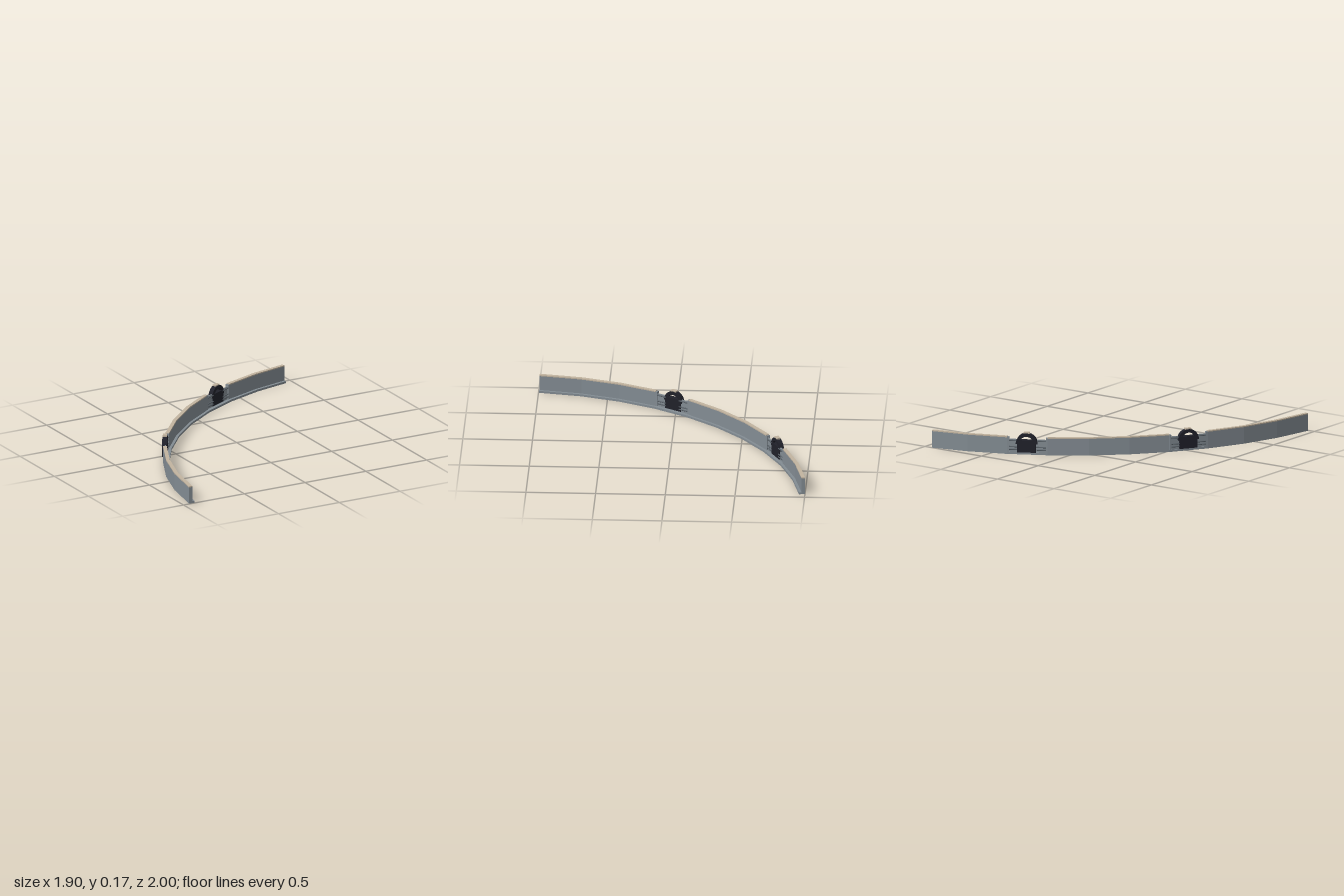
import * as THREE from 'three';

const RAD = Math.PI / 180, R = 2.233, CX = 1.2925, CZ = 1.2269;

// angle of each joint along the arc (0..10)
const jointAngle = i => (185.97 + 7.5 * i + (i > 0 && i < 10 ? 0.45 : 0)) * RAD;

// rectangular section (radial r0..r1, height y0..y1) swept from joint a to joint b
function sweep(r0, r1, y0, y1, a, b) {
  const g = new THREE.BoxGeometry(1, 1, 1, 1, 1, b - a).toNonIndexed();
  const p = g.attributes.position;
  for (let i = 0; i < p.count; i++) {
    const t = jointAngle(Math.round(a + (p.getZ(i) + 0.5) * (b - a)));
    const r = R + r0 + (p.getX(i) + 0.5) * (r1 - r0);
    const y = y0 + (p.getY(i) + 0.5) * (y1 - y0);
    p.setXYZ(i, CX + r * Math.cos(t), y, CZ + r * Math.sin(t));
  }
  g.computeVertexNormals();
  return g;
}

export function createModel() {
  const mat = (name, color) => {
    const m = new THREE.MeshStandardMaterial({ color });
    m.name = name;
    return m;
  };
  const steel = mat('grey steel', 0x838c93);
  const tan = mat('tan coping', 0xc2b4a0);
  const dark = mat('dark metal', 0x20212a);
  const rail = mat('rail grey', 0x5c646b);

  const model = new THREE.Group();
  model.name = 'curvedWall';
  const add = (parent, name, geo, m, x = 0, y = 0, z = 0) => {
    const mesh = new THREE.Mesh(geo, m);
    mesh.name = name;
    mesh.position.set(x, y, z);
    parent.add(mesh);
    return mesh;
  };

  // continuous footing with a ledge on the inner side
  add(model, 'footing', sweep(-0.022, 0.022, 0, 0.015, 0, 10), steel);

  // three wall runs with coping strips
  for (const [a, b] of [[0, 3], [4, 7], [8, 10]]) {
    add(model, 'wall', sweep(-0.003, 0.022, 0.015, 0.122, a, b), steel);
    add(model, 'coping', sweep(-0.004, 0.0225, 0.122, 0.13, a, b), tan);
  }

  // half-ring frame for a gate
  const arch = new THREE.Shape();
  arch.absarc(0, 0, 0.078, 0, Math.PI, false);
  arch.absarc(0, 0, 0.053, Math.PI, 0, true);
  const archGeo = new THREE.ExtrudeGeometry(arch, { depth: 0.034, bevelEnabled: false, curveSegments: 12 });
  archGeo.translate(0, 0, -0.017);

  // gates filling the two gaps; local x runs along the wall, z points inward
  for (const i of [3, 7]) {
    const t = (jointAngle(i) + jointAngle(i + 1)) / 2;
    const r = R * Math.cos(3.75 * RAD);
    const gate = new THREE.Group();
    gate.name = 'gate';
    gate.position.set(CX + r * Math.cos(t), 0, CZ + r * Math.sin(t));
    gate.rotation.y = Math.atan2(-Math.cos(t), -Math.sin(t));
    model.add(gate);

    add(gate, 'gatePanel', new THREE.BoxGeometry(0.135, 0.09, 0.036), dark, 0.005, 0.063, -0.018);
    add(gate, 'gateArch', archGeo, dark, 0.005, 0.08, -0.018);
    add(gate, 'archCap', new THREE.BoxGeometry(0.045, 0.014, 0.03), tan, 0.005, 0.158, -0.018);

    for (const s of [-1, 1]) {
      add(gate, 'endPost', new THREE.BoxGeometry(0.012, 0.11, 0.026), steel, s * 0.14, 0.07, -0.01);
      add(gate, 'sidePanel', new THREE.BoxGeometry(0.08, 0.095, 0.01), steel, s * 0.1, 0.0625, -0.01);
      // horizontal rails on both faces
      for (const y of [0.035, 0.055, 0.1]) {
        for (const z of [-0.018, -0.002]) {
          const bar = add(gate, 'sideRail', new THREE.CylinderGeometry(0.005, 0.005, 0.085, 8), rail, s * 0.1, y, z);
          bar.rotation.z = Math.PI / 2;
        }
      }
    }
  }
  return model;
}
